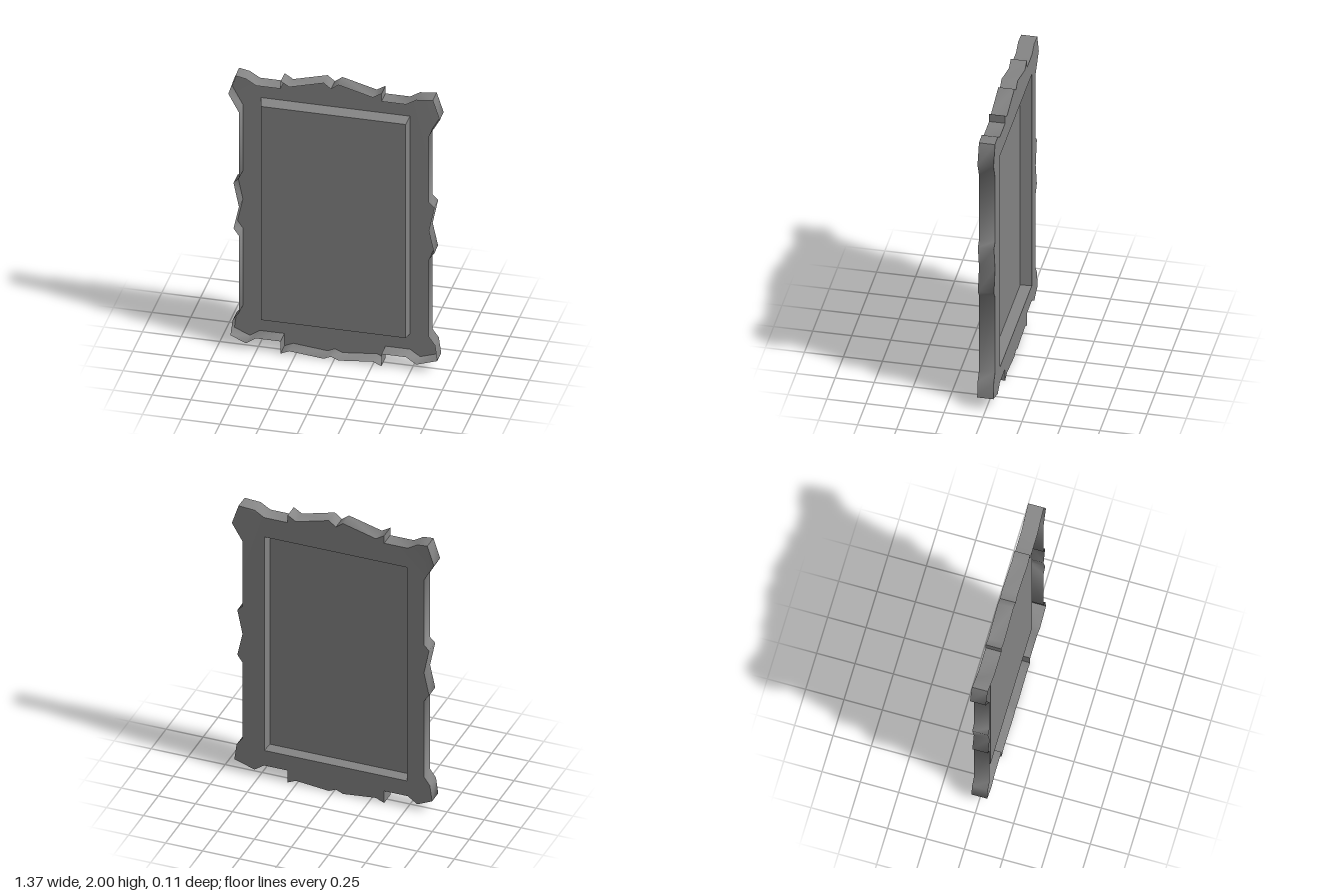
import * as THREE from 'three';
import { toCreasedNormals } from 'three/addons/utils/BufferGeometryUtils.js';

const BACK = -0.049, FRONT = 0.054, PANEL = 0.022;
const CREASE = THREE.MathUtils.degToRad(75);

// Right half of the frame outline, from the top notch round to the bottom notch
const half = [
  [-0.018, 1.963], [0.03, 2], [0.252, 1.94], [0.308, 1.975], [0.308, 1.92], [0.467, 1.92],
  [0.532, 1.96], [0.638, 1.97], [0.683, 1.833], [0.613, 1.71], [0.613, 1.23], [0.648, 1.195],
  [0.613, 1.025], [0.648, 0.865], [0.613, 0.815], [0.613, 0.255], [0.653, 0.2], [0.668, 0.088],
  [0.532, 0.043], [0.467, 0.088], [0.308, 0.088], [0.308, 0], [0.252, 0.025], [0.03, 0.002], [-0.018, 0.023],
];

// The crest ornaments sit slightly off centre; the sides are centred
const mirrored = half.slice(1, -1).reverse()
  .map(([x, y]) => [-x - (x < 0.6 ? 0.036 : 0), y]);
const outline = [...half, ...mirrored];

const rect = (x0, x1, y0, y1) => [[x0, y0], [x0, y1], [x1, y1], [x1, y0]];
const opening = rect(-0.497, 0.466, 0.199, 1.777);
const panelEdge = rect(-0.48, 0.456, 0.207, 1.755);

// The upper corner ornaments lean back a little
const lean = (x, y) => (y > 1.8 && Math.abs(x) > 0.6 ? -0.005 : 0);

const toVectors = (pts) => pts.map(([x, y]) => new THREE.Vector2(x, y));

// Flat face bounded by a loop, with optional hole
function face(loop, z, hole) {
  const shape = new THREE.Shape(toVectors(loop));
  if (hole) shape.holes.push(new THREE.Path(toVectors(hole)));
  const geo = new THREE.ShapeGeometry(shape);
  const p = geo.attributes.position;
  for (let i = 0; i < p.count; i++) p.setZ(i, z + lean(p.getX(i), p.getY(i)));
  geo.computeVertexNormals();
  return geo;
}

// Band of quads joining a clockwise back loop to a front loop, smooth except at sharp corners
function band(backLoop, zBack, frontLoop, zFront) {
  const pos = [];
  const at = (loop, i, z) => {
    const [x, y] = loop[i % loop.length];
    return [x, y, z + lean(x, y)];
  };
  for (let i = 0; i < backLoop.length; i++) {
    const a = at(backLoop, i, zBack), b = at(backLoop, i + 1, zBack);
    const c = at(frontLoop, i + 1, zFront), d = at(frontLoop, i, zFront);
    pos.push(...a, ...d, ...c, ...a, ...c, ...b);
  }
  const geo = new THREE.BufferGeometry();
  geo.setAttribute('position', new THREE.Float32BufferAttribute(pos, 3));
  return toCreasedNormals(geo, CREASE);
}

export function createModel() {
  const group = new THREE.Group();
  group.name = 'pictureFrame';
  const material = new THREE.MeshStandardMaterial({ color: 0x858585, side: THREE.DoubleSide });
  const add = (name, geo) => {
    const mesh = new THREE.Mesh(geo, material);
    mesh.name = name;
    group.add(mesh);
  };

  // Back plate with opening, and the ornate rim standing forward from it (open at the front)
  add('backPlate', face(outline, BACK, opening));
  add('outerRim', band(outline, BACK, outline, FRONT));

  // Panel raised toward the front, hollow from behind
  add('panelSides', band(opening, BACK, panelEdge, PANEL));
  add('panel', face(panelEdge, PANEL));

  return group;
}
